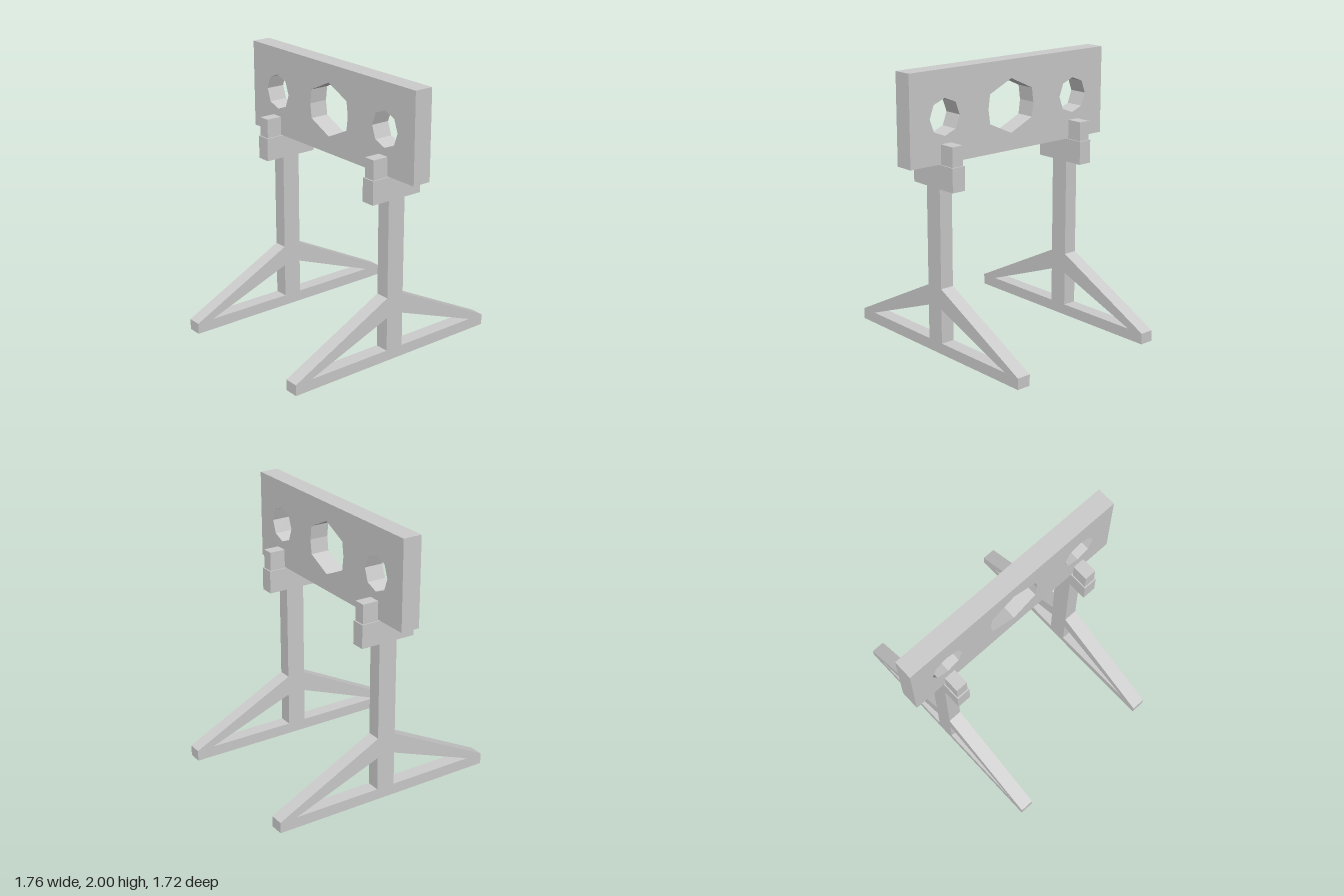
import * as THREE from 'three';

const material = new THREE.MeshStandardMaterial({ color: 0xcccccc, flatShading: true });
const points = (list) => list.map(([x, y]) => new THREE.Vector2(x, y));

// Extrude an outline with holes, centred on its depth
function slab(outline, holes, depth) {
  const shape = new THREE.Shape(points(outline));
  holes.forEach((h) => shape.holes.push(new THREE.Path(points(h))));
  return new THREE.ExtrudeGeometry(shape, { depth, bevelEnabled: false }).translate(0, 0, -depth / 2);
}

// Eight-sided opening: half width, half height, and the diagonal corner offsets
function opening(cx, cy, rx, ry, dx, dy) {
  return [[rx, 0], [dx, dy], [0, ry], [-dx, dy], [-rx, 0], [-dx, -dy], [0, -ry], [dx, -dy]]
    .map(([x, y]) => [cx + x, cy + y]);
}

export function createModel() {
  const model = new THREE.Group();
  const add = (name, geometry, parent = model) => {
    const mesh = new THREE.Mesh(geometry, material);
    mesh.name = name;
    parent.add(mesh);
    return mesh;
  };

  // Board with a neck opening and two wrist openings
  add('board', slab(
    [[-0.88, 1.36], [0.88, 1.36], [0.88, 2], [-0.88, 2]],
    [
      opening(0, 1.675, 0.207, 0.193, 0.193, 0.104),
      opening(-0.588, 1.677, 0.127, 0.128, 0.093, 0.092),
      opening(0.588, 1.677, 0.127, 0.128, 0.093, 0.092),
    ], 0.14));

  // Side profile of a stand: foot, braces, post and crosshead in one piece
  const half = [[0.86, 0], [0.86, 0.08], [0.07, 0.48], [0.07, 1.19], [0.21, 1.19], [0.21, 1.36]];
  const mirror = (list) => list.map(([z, y]) => [-z, y]).reverse();
  const gap = [[0.07, 0.08], [0.73, 0.08], [0.07, 0.33]];
  const standGeometry = slab([...half, ...mirror(half)], [gap, mirror(gap)], 0.104).rotateY(Math.PI / 2);

  for (const side of [1, -1]) {
    const stand = new THREE.Group();
    stand.name = side > 0 ? 'leftStand' : 'rightStand';
    stand.position.x = side * 0.588;
    add('standFrame', standGeometry, stand);

    // Blocks holding the board in front and behind
    for (const z of [0.14, -0.14]) {
      add(z > 0 ? 'frontBlock' : 'backBlock', new THREE.BoxGeometry(0.088, 0.14, 0.12), stand)
        .position.set(0, 1.43, z);
    }
    model.add(stand);
  }
  return model;
}
